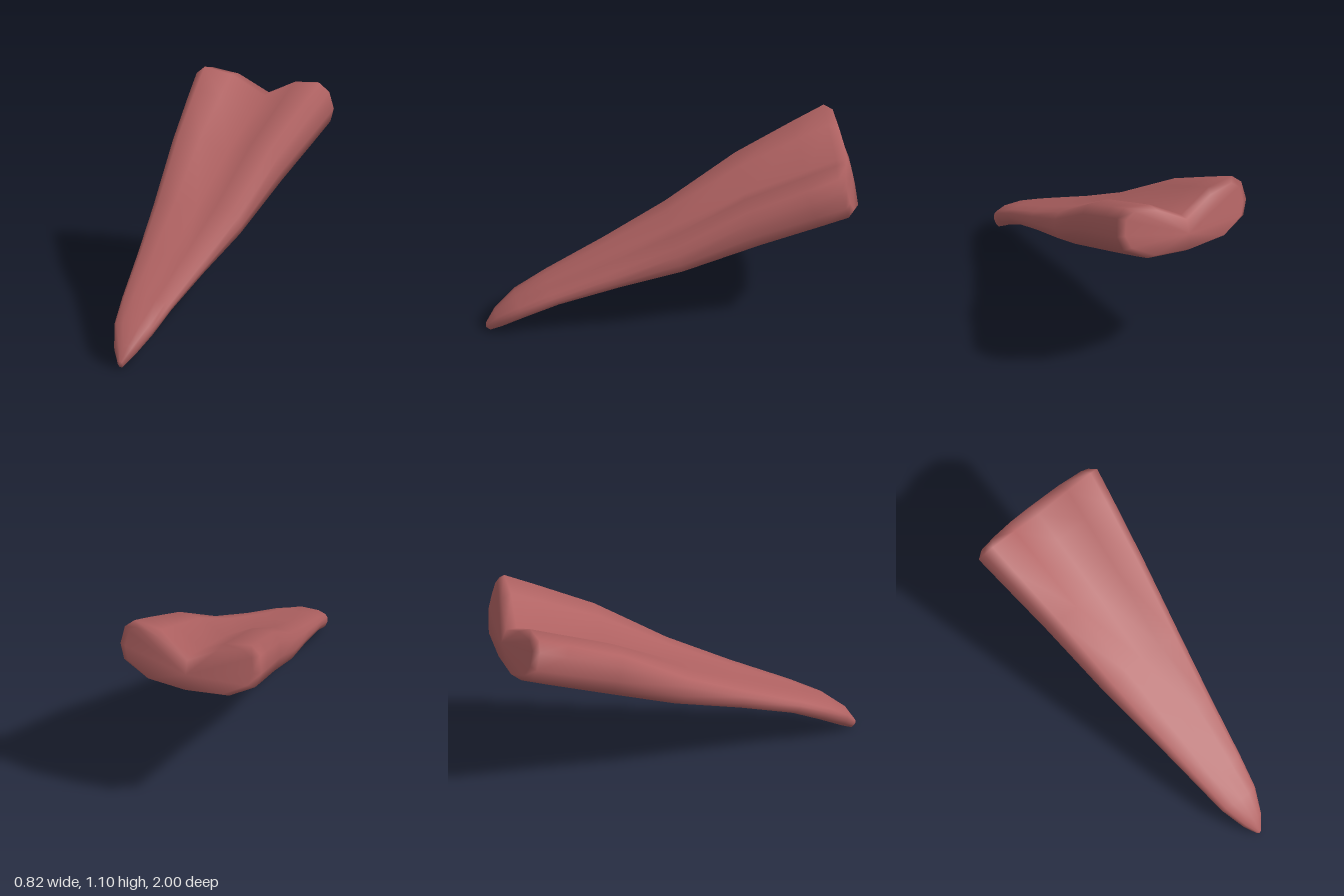
import * as THREE from 'three';

// Stations from tip to root: top z, top y, bottom z, bottom y, half width, groove depth (0..1)
const STATIONS = [
  [1.0, 0.045, 0.975, 0.005, 0.015, 0],
  [0.95, 0.125, 0.915, 0.04, 0.06, 0],
  [0.84, 0.215, 0.78, 0.122, 0.113, 0],
  [0.67, 0.305, 0.6, 0.214, 0.146, 0.1],
  [0.35, 0.46, 0.28, 0.325, 0.2, 0.25],
  [0.01, 0.638, -0.06, 0.423, 0.262, 0.4],
  [-0.38, 0.885, -0.48, 0.585, 0.328, 0.7],
  [-0.7, 1.03, -0.8, 0.715, 0.382, 0.87],
  [-0.87, 1.105, -0.945, 0.777, 0.408, 0.95],
  [-0.93, 1.09, -1.0, 0.815, 0.37, 1],
];

// Half cross-section from groove to underside: width fraction, height fraction
function halfProfile(groove) {
  return [
    [0, 1 - 0.41 * groove],
    [0.45, 1 - 0.08 * groove],
    [0.83, 0.88 + 0.12 * groove],
    [0.96, 0.74 + 0.12 * groove],
    [1, 0.55],
    [0.93, 0.3],
    [0.58, 0.06],
    [0, 0],
  ];
}

function createTongueGeometry() {
  const positions = [];
  const index = [];
  let n = 0;
  STATIONS.forEach(([zt, yt, zb, yb, w, groove], i) => {
    const half = halfProfile(groove);
    const mirrored = half.slice(1, -1).reverse().map(([x, t]) => [-x, t]);
    const ring = [...half, ...mirrored];
    n = ring.length;
    // The last ring bends forward at its corners
    const bend = i === STATIONS.length - 1 ? 0.03 : 0;
    for (const [x, t] of ring) {
      positions.push(x * w, yb + (yt - yb) * t, zb + (zt - zb) * t + bend * x ** 4);
    }
  });

  // Skin between neighbouring rings
  const last = STATIONS.length - 1;
  for (let i = 0; i < last; i++) {
    for (let j = 0; j < n; j++) {
      const k = (j + 1) % n;
      const a = i * n + j, b = i * n + k, c = a + n, d = b + n;
      index.push(a, b, c, b, d, c);
    }
  }

  // Caps at the tip and the root
  const tip = positions.length / 3;
  positions.push(0, 0.02, 1.0, 0, 0.9, -0.985);
  for (let j = 0; j < n; j++) {
    const k = (j + 1) % n;
    index.push(tip, k, j, tip + 1, last * n + j, last * n + k);
  }

  const geometry = new THREE.BufferGeometry();
  geometry.setAttribute('position', new THREE.Float32BufferAttribute(positions, 3));
  geometry.setIndex(index);
  geometry.computeVertexNormals();
  return geometry;
}

export function createModel() {
  const group = new THREE.Group();
  group.name = 'tongueModel';
  const flesh = new THREE.MeshStandardMaterial({ color: 0xb06262 });
  flesh.name = 'flesh pink';
  const tongue = new THREE.Mesh(createTongueGeometry(), flesh);
  tongue.name = 'tongue';
  group.add(tongue);
  return group;
}
